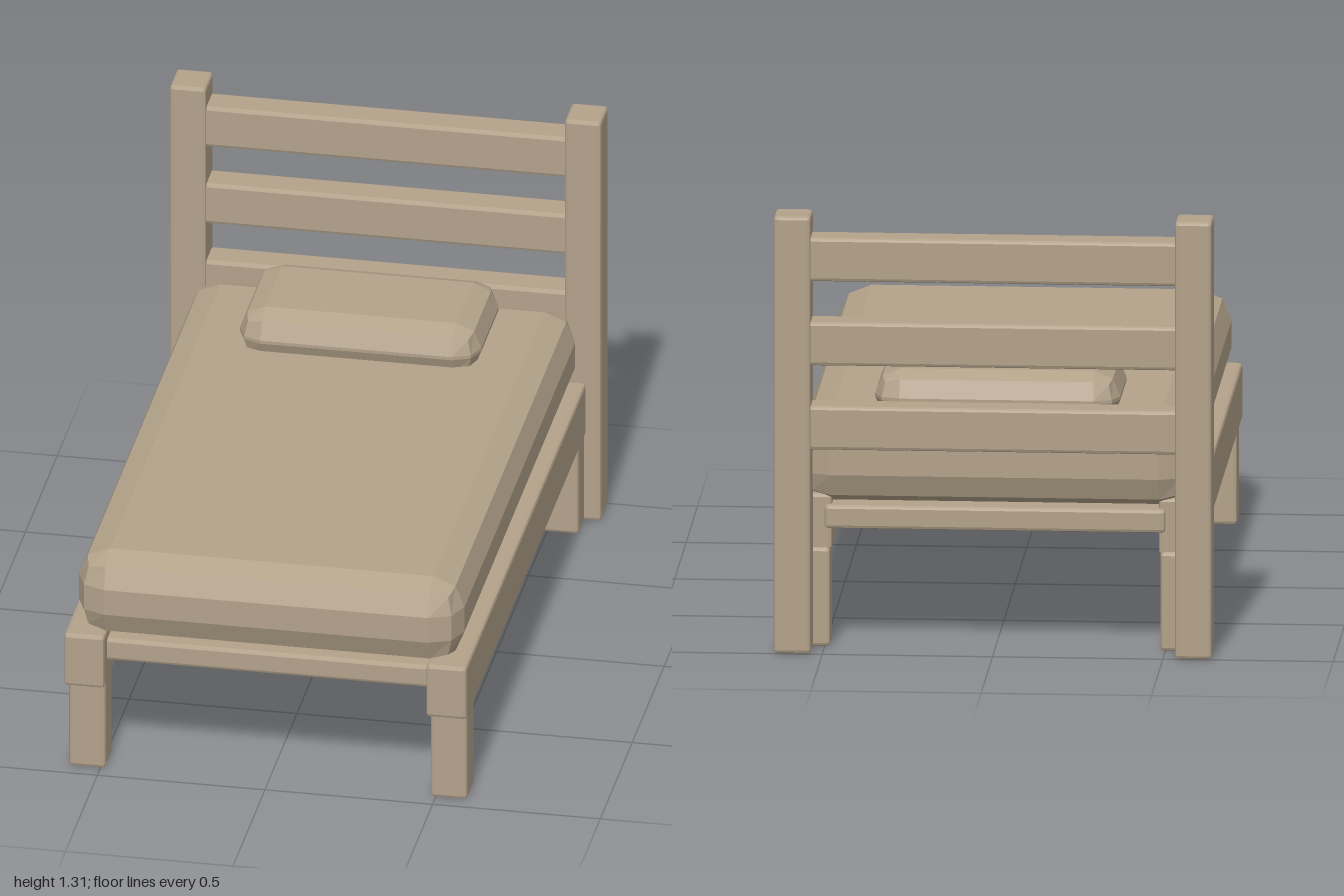
import * as THREE from 'three';
import { RoundedBoxGeometry } from 'three/addons/geometries/RoundedBoxGeometry.js';

export function createModel() {
  const bed = new THREE.Group();
  bed.name = 'bed';
  const material = new THREE.MeshStandardMaterial({ color: 0xb3a28a, flatShading: true });

  // Bevelled block given by its lower and upper limits on each axis
  function block(name, [x0, x1], [y0, y1], [z0, z1], radius = 0.01) {
    const geometry = new RoundedBoxGeometry(x1 - x0, y1 - y0, z1 - z0, 1, radius);
    const mesh = new THREE.Mesh(geometry, material);
    mesh.position.set((x0 + x1) / 2, (y0 + y1) / 2, (z0 + z1) / 2);
    mesh.name = name;
    bed.add(mesh);
  }

  // Posts, side rails and legs, mirrored left and right
  for (const [side, s] of [['left', 1], ['right', -1]]) {
    const span = (a, b) => (s > 0 ? [a, b] : [-b, -a]);
    block(`${side}HeadboardPost`, span(0.535, 0.643), [0, 1.31], [-1, -0.88]);
    block(`${side}SideRail`, span(0.48, 0.6), [0.285, 0.455], [-0.88, 1]);
    block(`${side}FrontLeg`, span(0.485, 0.594), [0, 0.295], [0.845, 0.955]);
    block(`${side}BackLeg`, span(0.485, 0.594), [0, 0.295], [-0.89, -0.785]);
  }

  // Headboard rails
  for (let i = 0; i < 3; i++) {
    const y = 0.61 + i * 0.2525;
    block(`headboardRail${i + 1}`, [-0.55, 0.55], [y, y + 0.13], [-0.99, -0.89]);
  }

  // Slats carrying the mattress
  for (let i = 0; i < 10; i++) {
    const z = 0.88 - i * 0.19;
    block(`slat${i + 1}`, [-0.5, 0.5], [0.355, 0.425], [z - 0.07, z + 0.07]);
  }

  // Bedding
  block('mattress', [-0.575, 0.575], [0.43, 0.695], [-0.93, 0.985], 0.092);
  block('pillow', [-0.36, 0.36], [0.65, 0.81], [-0.84, -0.425], 0.075);

  return bed;
}
